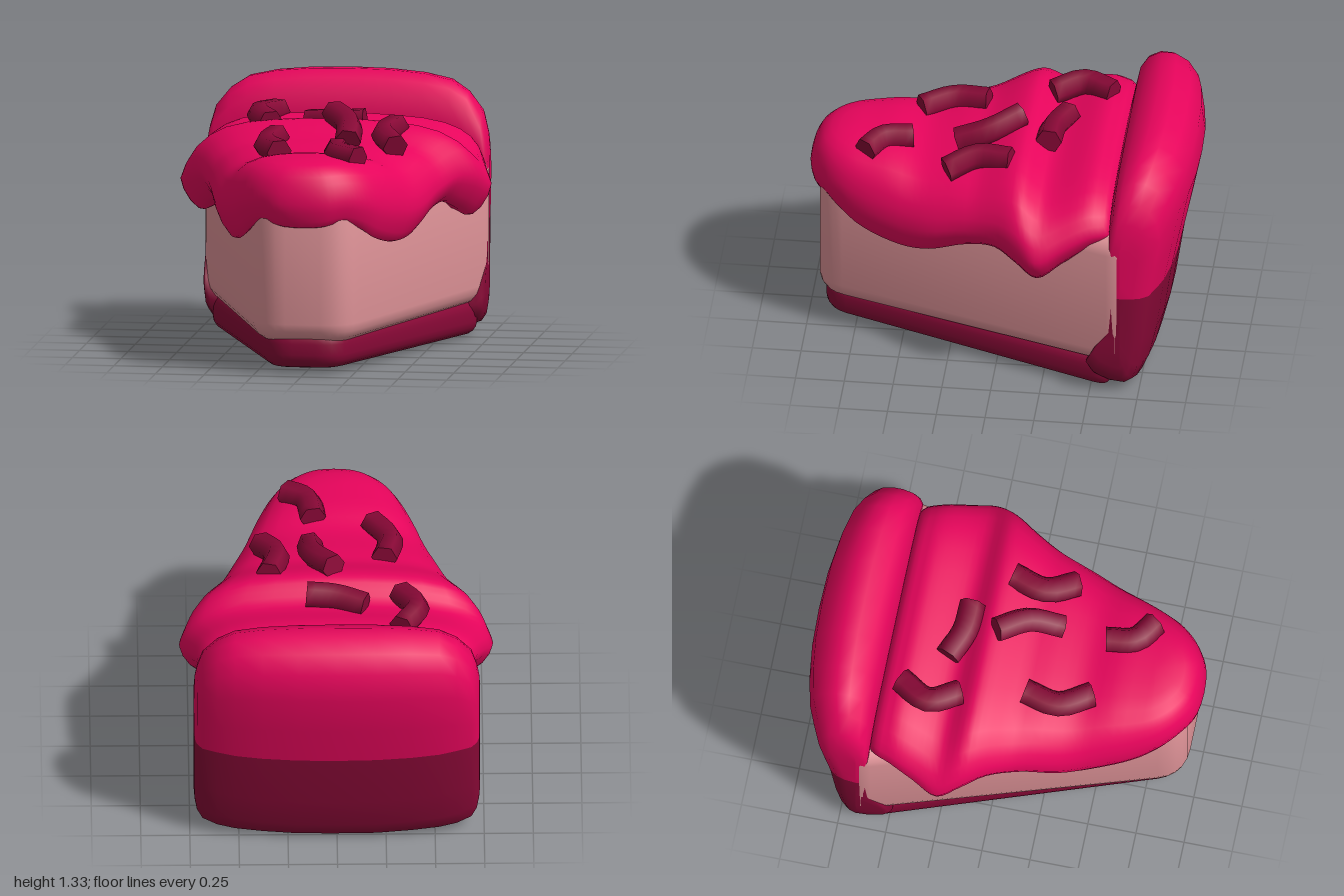
import * as THREE from 'three';
import { mergeVertices, toCreasedNormals } from 'three/addons/utils/BufferGeometryUtils.js';

const material = (name, color) => Object.assign(new THREE.MeshStandardMaterial({ color }), { name });

// Smooth interpolation through [position, value] pairs sorted by falling position
function heightAt(table, z) {
  if (z >= table[0][0]) return table[0][1];
  for (let i = 1; i < table.length; i++) {
    const [z0, y0] = table[i - 1], [z1, y1] = table[i];
    if (z >= z1) return y0 + (y1 - y0) * THREE.MathUtils.smoothstep((z0 - z) / (z0 - z1), 0, 1);
  }
  return table[table.length - 1][1];
}

// Smooth skin over a grid of points
function skin(rows, cols, pointAt) {
  const pos = [], index = [];
  for (let i = 0; i < rows; i++) {
    for (let j = 0; j < cols; j++) {
      pos.push(...pointAt(i, j));
      if (i && j) {
        const d = i * cols + j, c = d - 1, b = d - cols, a = b - 1;
        index.push(a, c, b, c, d, b);
      }
    }
  }
  const geo = new THREE.BufferGeometry();
  geo.setAttribute('position', new THREE.Float32BufferAttribute(pos, 3));
  geo.setIndex(index);
  const merged = mergeVertices(geo, 1e-4);
  merged.computeVertexNormals();
  return merged;
}

// Wedge with rounded corners and edges, narrow end towards +z
function wedge(tipHalf, tipZ, backHalf, backZ, y0, y1, bevel, cut) {
  const corners = [[-backHalf, backZ], [backHalf, backZ], [tipHalf, tipZ], [-tipHalf, tipZ]]
    .map(([x, z]) => new THREE.Vector2(x, -z));
  const shape = new THREE.Shape();
  corners.forEach((p, i) => {
    const toward = (q) => q.clone().sub(p).setLength(cut).add(p);
    const a = toward(corners[(i + 3) % 4]), b = toward(corners[(i + 1) % 4]);
    if (i) shape.lineTo(a.x, a.y); else shape.moveTo(a.x, a.y);
    shape.quadraticCurveTo(p.x, p.y, b.x, b.y);
  });
  shape.closePath();
  const geo = new THREE.ExtrudeGeometry(shape, {
    depth: y1 - y0 - 2 * bevel, bevelSize: bevel, bevelThickness: bevel,
    bevelOffset: -bevel, bevelSegments: 4, curveSegments: 5,
  });
  geo.rotateX(-Math.PI / 2);
  geo.translate(0, y0 + bevel, 0);
  return toCreasedNormals(geo, 0.7);
}

// Icing: rings spread from a central spine to a wavy dripping rim
function icingGeometry() {
  // rim points: x, drip height, z
  const half = [
    [0.58, 0.87, -0.63], [0.67, 0.86, -0.59], [0.715, 0.83, -0.49], [0.76, 0.755, -0.36], [0.8, 0.675, -0.23],
    [0.75, 0.73, -0.12], [0.67, 0.775, 0], [0.6, 0.74, 0.15], [0.54, 0.66, 0.35],
    [0.48, 0.64, 0.5], [0.4, 0.685, 0.7], [0.32, 0.755, 0.84], [0.23, 0.79, 0.93], [0.11, 0.77, 0.993],
  ];
  const full = [...half, ...half.map(([x, y, z]) => [-x, y, z]).reverse()];
  const rim = new THREE.CatmullRomCurve3(full.map((p) => new THREE.Vector3(...p))).getPoints(108);
  const top = [[0.8, 1.1], [0.6, 1.1], [0.4, 1.07], [0.15, 1.1], [-0.11, 1.175],
    [-0.25, 1.095], [-0.49, 1.15], [-0.56, 1.13], [-0.63, 1.06]];
  // spread from the spine, fall from top towards the drip
  const rings = [[0, 0], [0.2, 0.005], [0.4, 0.025], [0.58, 0.06], [0.73, 0.125], [0.84, 0.22],
    [0.92, 0.34], [0.97, 0.48], [1, 0.63], [0.98, 0.76], [0.935, 0.9], [0.88, 0.99], [0.84, 1], [0.76, 0.93], [0.66, 0.85]];
  return skin(rim.length, rings.length, (i, j) => {
    const p = rim[i], [f, t] = rings[j];
    const spine = Math.min(p.z, 0.75);
    const z = spine + (p.z - spine) * f;
    const h = heightAt(top, z);
    return [p.x * f, h + (p.y - h) * t, z];
  });
}

// Crust wall: a leaning side profile (z, y) carried across x
const SPLIT = 0.6;
const crustTop = [[-0.61, 0.6], [-0.605, 0.85], [-0.6, 1.1], [-0.63, 1.23], [-0.68, 1.3], [-0.76, 1.338],
  [-0.84, 1.335], [-0.92, 1.29], [-0.98, 1.2], [-1, 1.05], [-0.955, 0.82], [-0.91, 0.6]];
const crustBottom = [[-0.91, 0.6], [-0.865, 0.3], [-0.82, 0.12], [-0.78, 0.035], [-0.72, 0.005],
  [-0.6, 0.015], [-0.52, 0.06], [-0.48, 0.13], [-0.52, 0.22], [-0.585, 0.31], [-0.61, 0.6]];
function crustGeometry(profile) {
  // x, depth scale, upper scale, lower scale, pinch of the end
  const half = [[0, 1, 1, 1, 0], [0.2, 0.985, 0.995, 1, 0], [0.38, 0.93, 0.975, 0.985, 0],
    [0.52, 0.85, 0.937, 0.97, 0], [0.61, 0.75, 0.86, 0.95, 0], [0.685, 0.65, 0.735, 0.9, 0],
    [0.713, 0.54, 0.6, 0.83, 0.05], [0.725, 0.45, 0.5, 0.72, 0.25], [0.73, 0.4, 0.4, 0.6, 1]];
  const stations = [...half.slice(1).reverse().map(([x, ...rest]) => [-x, ...rest]), ...half];
  return skin(stations.length, profile.length, (i, j) => {
    const [x, depth, up, down, pinch] = stations[i];
    const [pz, py] = profile[j];
    const z = pz < -0.6 ? -0.6 + (pz + 0.6) * depth : pz;
    return [x, SPLIT + (py - SPLIT) * (py > SPLIT ? up : down), z + (-0.66 - z) * pinch];
  });
}

// Curved six-sided chocolate curl through three points
function curlGeometry(points) {
  const hexagon = new THREE.Shape(Array.from({ length: 6 }, (_, k) => {
    const angle = (k + 0.5) * Math.PI / 3;
    return new THREE.Vector2(Math.cos(angle), Math.sin(angle)).multiplyScalar(0.067);
  }));
  const path = new THREE.CatmullRomCurve3(points.map((p) => new THREE.Vector3(...p)));
  const geo = new THREE.ExtrudeGeometry(hexagon, { steps: 8, bevelEnabled: false, extrudePath: path });
  return toCreasedNormals(geo, 1.2);
}

export function createModel() {
  const pink = material('hotPinkIcing', 0xe8045c);
  const sponge = material('palePinkFilling', 0xe2959a);
  const dark = material('darkBerryCrust', 0x880836);

  const model = new THREE.Group();
  model.name = 'cakeSlice';
  const add = (name, geometry, mat) => {
    const mesh = new THREE.Mesh(geometry, mat);
    mesh.name = name;
    model.add(mesh);
  };

  // base rises slightly towards the tip
  add('base', wedge(0.18, 0.92, 0.71, -0.62, 0.02, 0.215, 0.07, 0.12).rotateX(-0.015), dark);
  add('filling', wedge(0.23, 0.95, 0.762, -0.72, 0.165, 0.95, 0.1, 0.14), sponge);
  add('icing', icingGeometry(), pink);
  add('crustUpper', crustGeometry(crustTop), pink);
  add('crustLower', crustGeometry(crustBottom), dark);

  const curls = [
    [[-0.33, 1.15, -0.51], [-0.41, 1.15, -0.35], [-0.33, 1.13, -0.2]],
    [[-0.15, 1.13, -0.3], [0, 1.14, -0.24], [0.15, 1.15, -0.23]],
    [[0.01, 1.21, -0.08], [0.11, 1.17, 0.07], [0.13, 1.11, 0.24]],
    [[0.34, 1.15, -0.06], [0.3, 1.13, 0.12], [0.38, 1.09, 0.27]],
    [[-0.25, 1.11, 0.12], [-0.28, 1.09, 0.3], [-0.19, 1.08, 0.46]],
    [[0.11, 1.1, 0.47], [0.14, 1.1, 0.62], [0.25, 1.09, 0.7]],
  ];
  curls.forEach((points, i) => add('chocolateCurl' + (i + 1), curlGeometry(points), dark));
  return model;
}
